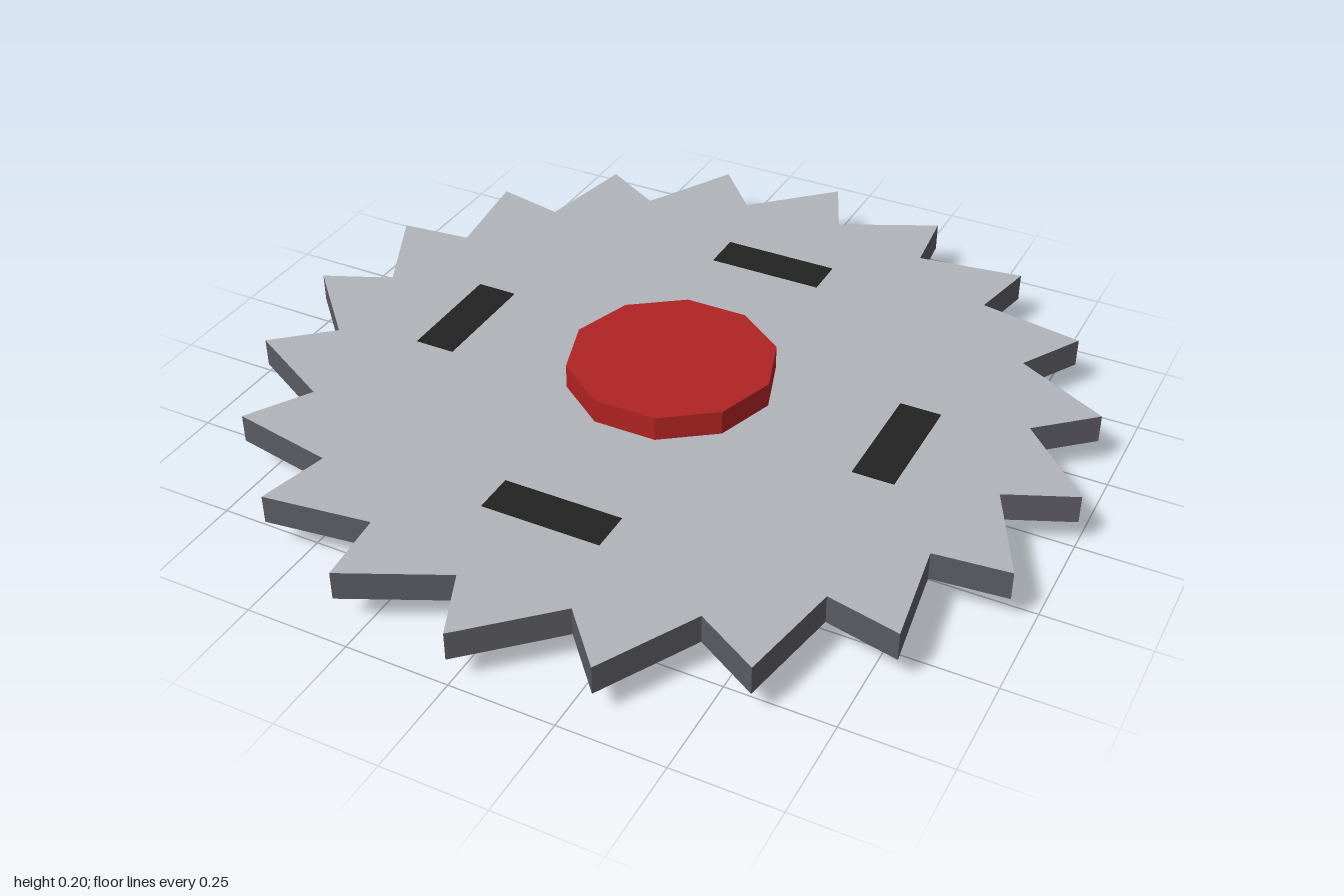
import * as THREE from 'three';

const steel = new THREE.MeshStandardMaterial({ name: 'steel', color: 0xb0b4b9 });
const darkSteel = new THREE.MeshStandardMaterial({ name: 'dark steel', color: 0x5a5a62 });
const red = new THREE.MeshStandardMaterial({ name: 'red', color: 0xb02323 });
const black = new THREE.MeshStandardMaterial({ name: 'black', color: 0x222222 });

const TEETH = 20;
const BLADE_TOP = 0.14;
const BLADE_THICKNESS = 0.07;

export function createModel() {
  const model = new THREE.Group();
  model.name = 'sawBlade';

  const add = (name, geometry, material, parent = model) => {
    const mesh = new THREE.Mesh(geometry, material);
    mesh.name = name;
    parent.add(mesh);
    return mesh;
  };

  // Toothed disc: each tip is followed by a valley 5 degrees on, giving raked teeth
  const outline = [];
  const step = (Math.PI * 2) / TEETH;
  const rake = THREE.MathUtils.degToRad(4.9);
  for (let i = 0; i < TEETH; i++) {
    const a = i * step;
    outline.push(new THREE.Vector2(Math.cos(a), Math.sin(a)));
    outline.push(new THREE.Vector2(Math.cos(a + rake), Math.sin(a + rake)).multiplyScalar(0.84));
  }
  const blade = new THREE.ExtrudeGeometry(new THREE.Shape(outline), {
    depth: BLADE_THICKNESS,
    bevelEnabled: false,
  });
  blade.rotateX(Math.PI / 2).translate(0, BLADE_TOP, 0);
  add('blade', blade, [steel, darkSteel]);

  // Ten-sided hub passing through the disc
  const hub = new THREE.CylinderGeometry(0.25, 0.25, 0.2, 10).toNonIndexed();
  hub.computeVertexNormals();
  hub.rotateY(Math.PI / 10).translate(0, 0.1, 0);
  add('hub', hub, red);

  // Four dark slots painted on the upper face
  const slots = new THREE.Group();
  slots.name = 'slots';
  model.add(slots);
  for (let i = 0; i < 4; i++) {
    const slot = new THREE.BoxGeometry(0.1, 0.004, 0.29);
    slot.translate(0.57, BLADE_TOP, 0).rotateY((i * Math.PI) / 2);
    add('slot' + (i + 1), slot, black, slots);
  }

  return model;
}
